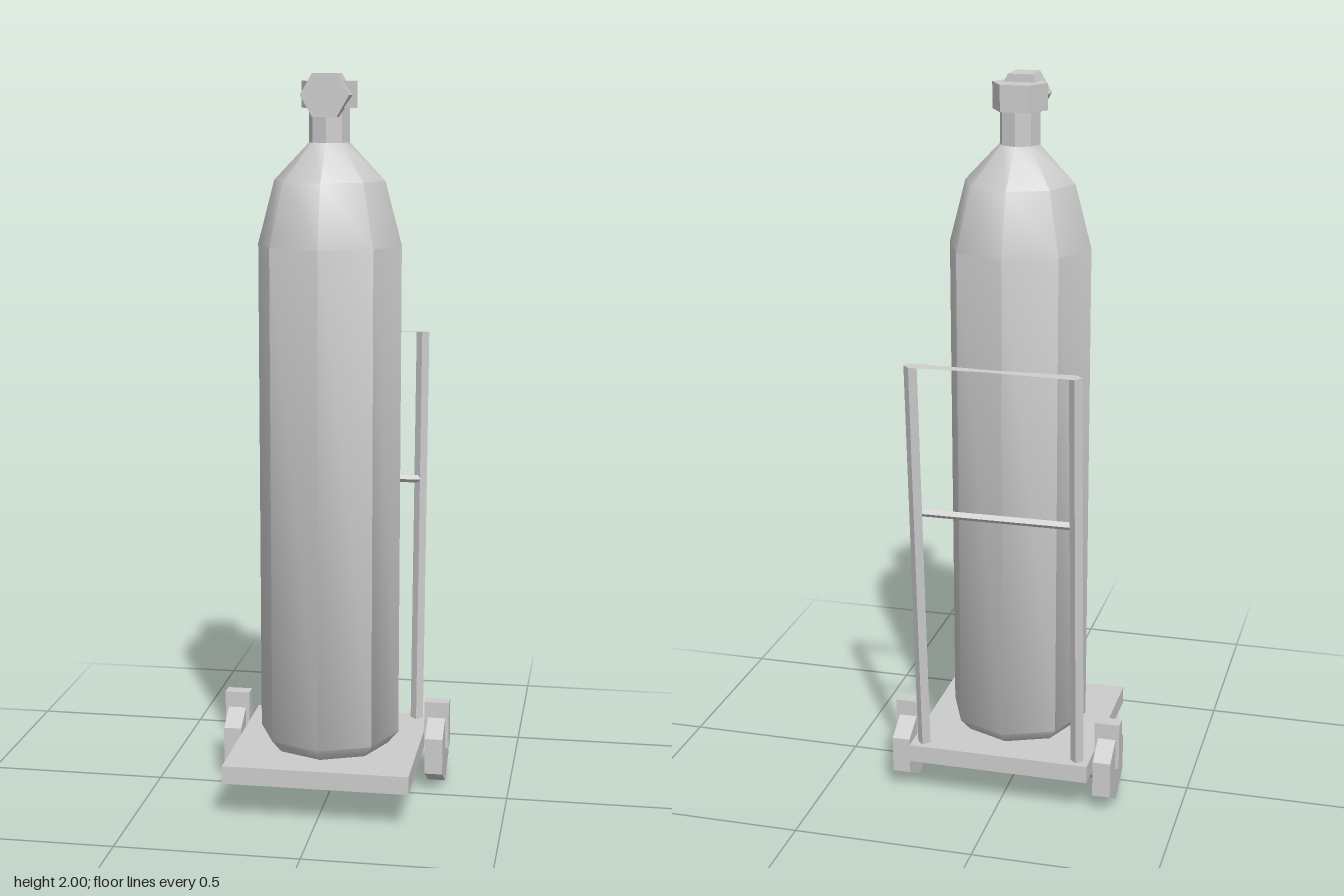
import * as THREE from 'three';
import { toCreasedNormals } from 'three/addons/utils/BufferGeometryUtils.js';

export function createModel() {
  const model = new THREE.Group();
  model.name = 'gasCylinderTrolley';
  const grey = new THREE.MeshStandardMaterial({ color: 0xcccccc });
  grey.name = 'grey';
  const greySheet = new THREE.MeshStandardMaterial({ color: 0xcccccc, side: THREE.DoubleSide });
  greySheet.name = 'greySheet';

  const add = (name, geometry, x, y, z, material = grey) => {
    const mesh = new THREE.Mesh(geometry, material);
    mesh.name = name;
    mesh.position.set(x, y, z);
    model.add(mesh);
    return mesh;
  };
  // Faceted prism; the turn sets which way its corners point
  const prism = (radius, length, sides, turn = 0) =>
    toCreasedNormals(new THREE.CylinderGeometry(radius, radius, length, sides).rotateY(turn), 0.3);

  // Base plate
  add('basePlate', new THREE.BoxGeometry(0.51, 0.05, 0.51), 0, 0.13, 0.025);

  // Eight-sided tank with a smooth shoulder
  const profile = [[0.165, 0.155], [0.195, 0.19], [0.195, 1.55], [0.15, 1.72], [0.055, 1.82]]
    .map(([r, y]) => new THREE.Vector2(r, y));
  const tank = new THREE.LatheGeometry(profile, 8);
  add('tank', toCreasedNormals(tank, THREE.MathUtils.degToRad(44)), 0, 0, 0.025);

  // Neck, valve and hand knob
  add('neck', prism(0.055, 0.1, 8), 0, 1.865, 0.025);
  add('valve', prism(0.075, 0.07, 6, Math.PI / 2), 0, 1.945, 0.025);
  add('valveKnob', prism(0.065, 0.085, 6, Math.PI / 2).rotateX(Math.PI / 2), 0, 1.944, 0.0675);

  // Wheels, brackets and leaning handle posts
  const low = new THREE.Vector3(0, 0.14, -0.198);
  const high = new THREE.Vector3(0, 1.28, -0.265);
  const lean = new THREE.Vector3().subVectors(high, low);
  for (const [side, s] of [['left', 1], ['right', -1]]) {
    add(side + 'Wheel', prism(0.103, 0.05, 6, Math.PI / 2).rotateZ(Math.PI / 2), s * 0.29, 0.103, -0.11);
    add(side + 'WheelBracket', new THREE.BoxGeometry(0.07, 0.135, 0.04), s * 0.29, 0.1725, -0.11);
    const post = add(side + 'Post', prism(0.018, lean.length(), 4),
      s * 0.221, (low.y + high.y) / 2, (low.z + high.z) / 2);
    post.quaternion.setFromUnitVectors(new THREE.Vector3(0, 1, 0), lean.clone().normalize());
  }

  // Middle crossbar
  add('middleBar', prism(0.011, 0.442, 4).rotateZ(Math.PI / 2), 0, 0.86, -0.23);

  // Flat, twisted top bar joining the two post ends
  const r = 0.018;
  const ring = (x, flip) => [0, 1, 2, 3].map(i => {
    const a = i * Math.PI / 2;
    const dz = r * Math.sin(a) * flip;
    return [x + r * Math.cos(a), dz * 0.06, dz];
  });
  const start = ring(-0.221, 1), end = ring(0.221, -1);
  const corners = [];
  for (let i = 0; i < 4; i++) {
    const j = (i + 1) % 4;
    corners.push(...start[i], ...end[i], ...end[j], ...start[i], ...end[j], ...start[j]);
  }
  const strip = new THREE.BufferGeometry();
  strip.setAttribute('position', new THREE.Float32BufferAttribute(corners, 3));
  strip.computeVertexNormals();
  add('topBar', strip, 0, high.y, high.z, greySheet);

  return model;
}
